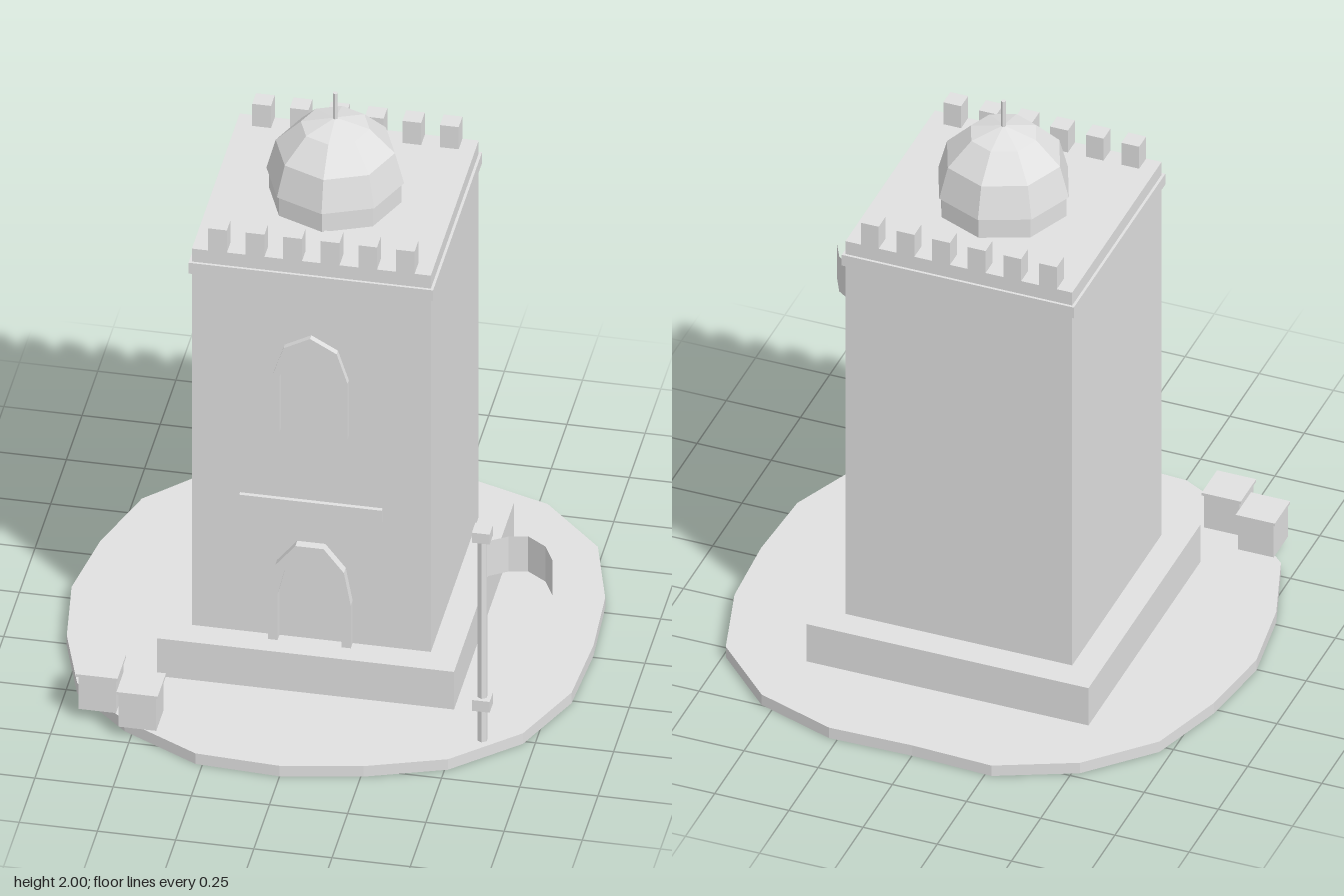
import * as THREE from 'three';

const stone = new THREE.MeshStandardMaterial({ color: 0xe0e0e0 });
stone.name = 'stone grey';
stone.flatShading = true;
const cloth = stone.clone();
cloth.name = 'cloth grey';
cloth.side = THREE.DoubleSide;

const CZ = -0.05; // tower axis in z
const WALL = 0.332; // front wall plane
const BASE = 0.183; // top of the plinth

export function createModel() {
  const root = new THREE.Group();
  root.name = 'watchtower';

  const add = (name, geo, x = 0, y = 0, z = 0, parent = root, mat = stone) => {
    const m = new THREE.Mesh(geo, mat);
    m.name = name;
    m.position.set(x, y, z);
    parent.add(m);
    return m;
  };
  // box given by its bottom and top heights
  const box = (name, w, d, y0, y1, x, z, parent) =>
    add(name, new THREE.BoxGeometry(w, y1 - y0, d), x, (y0 + y1) / 2, z, parent);

  // irregular ground slab
  const outline = [
    [-0.272, -0.843], [0, -0.832], [0.277, -0.838], [0.54, -0.748], [0.74, -0.547],
    [0.818, -0.275], [0.834, -0.008], [0.818, 0.262], [0.713, 0.513], [0.511, 0.7],
    [0.258, 0.79], [0, 0.84], [-0.272, 0.824], [-0.525, 0.69], [-0.712, 0.515],
    [-0.796, 0.262], [-0.834, -0.005], [-0.796, -0.27], [-0.714, -0.528], [-0.525, -0.727],
  ].map(p => new THREE.Vector2(...p));
  const slab = new THREE.ExtrudeGeometry(new THREE.Shape(outline), { depth: 0.04, bevelEnabled: false });
  slab.rotateX(Math.PI / 2);
  add('ground', slab, 0, 0.04, 0);

  // tower body
  box('plinth', 0.95, 0.955, 0.04, BASE, 0, CZ - 0.001);
  box('towerWalls', 0.764, 0.764, BASE, 1.613, 0, CZ);
  box('cornice', 0.782, 0.782, 1.523, 1.564, 0, CZ);

  // battlements along the front and back edges
  const battlements = new THREE.Group();
  battlements.name = 'battlements';
  root.add(battlements);
  for (const side of [-1, 1])
    for (let i = 0; i < 6; i++)
      box('merlon', 0.06, 0.06, 1.613, 1.697, -0.3 + i * 0.12, CZ + side * 0.352, battlements);

  // dome on an eight-sided drum
  add('drum', new THREE.CylinderGeometry(0.212, 0.212, 0.073, 8), 0, 1.6495, CZ);
  add('dome', new THREE.SphereGeometry(0.22, 8, 3, 0, Math.PI * 2, 0, Math.PI / 2), 0, 1.686, CZ);
  add('spire', new THREE.CylinderGeometry(0.008, 0.008, 0.105, 6), 0, 1.9475, CZ);

  // arched frames: left half of the outer edge, then of the inner edge
  const arch = (name, outer, inner, depth) => {
    const mirror = pts => pts.filter(p => p[0] !== 0).map(([x, y]) => [-x, y]).reverse();
    const full = pts => [...pts, ...mirror(pts)];
    const pts = [...full(outer), ...full(inner).reverse()].map(p => new THREE.Vector2(...p));
    const geo = new THREE.ExtrudeGeometry(new THREE.Shape(pts), { depth, bevelEnabled: false });
    add(name, geo, 0, 0, WALL);
  };
  arch('doorFrame',
    [[-0.132, BASE], [-0.132, 0.345], [-0.11, 0.466], [-0.045, 0.548]],
    [[-0.102, BASE], [-0.102, 0.358], [-0.08, 0.452], [-0.035, 0.51]], 0.03);
  arch('windowFrame',
    [[-0.12, 0.97], [-0.12, 1.18], [-0.085, 1.288], [0, 1.335]],
    [[-0.097, 0.97], [-0.097, 1.18], [-0.065, 1.273], [0, 1.315]], 0.021);
  box('ledge', 0.456, 0.014, 0.661, 0.708, 0, WALL + 0.007);

  // flagpole with collars and a waving flag
  const px = 0.595, pz = 0.571;
  add('flagpole', new THREE.CylinderGeometry(0.017, 0.017, 0.79, 6), px, 0.435, pz);
  box('poleCollar', 0.057, 0.057, 0.164, 0.205, px, pz);
  box('poleCap', 0.057, 0.057, 0.803, 0.841, px, pz);
  const wave = [[0.607, 0.571], [0.67, 0.53], [0.73, 0.517], [0.795, 0.562], [0.83, 0.63]];
  const flag = new THREE.PlaneGeometry(1, 0.133, 4, 1);
  const pos = flag.attributes.position;
  for (let i = 0; i < pos.count; i++) {
    const [x, z] = wave[i % 5];
    pos.setX(i, x);
    pos.setZ(i, z);
  }
  flag.computeVertexNormals();
  add('flag', flag, 0, 0.727, 0, root, cloth);

  // crates with overhanging lids
  for (const [x, z] of [[-0.62, 0.594], [-0.477, 0.666]]) {
    const crate = new THREE.Group();
    crate.name = 'crate';
    root.add(crate);
    box('crateBody', 0.12, 0.12, 0.04, 0.165, x, z, crate);
    box('crateLid', 0.132, 0.132, 0.165, 0.175, x, z, crate);
  }

  return root;
}
